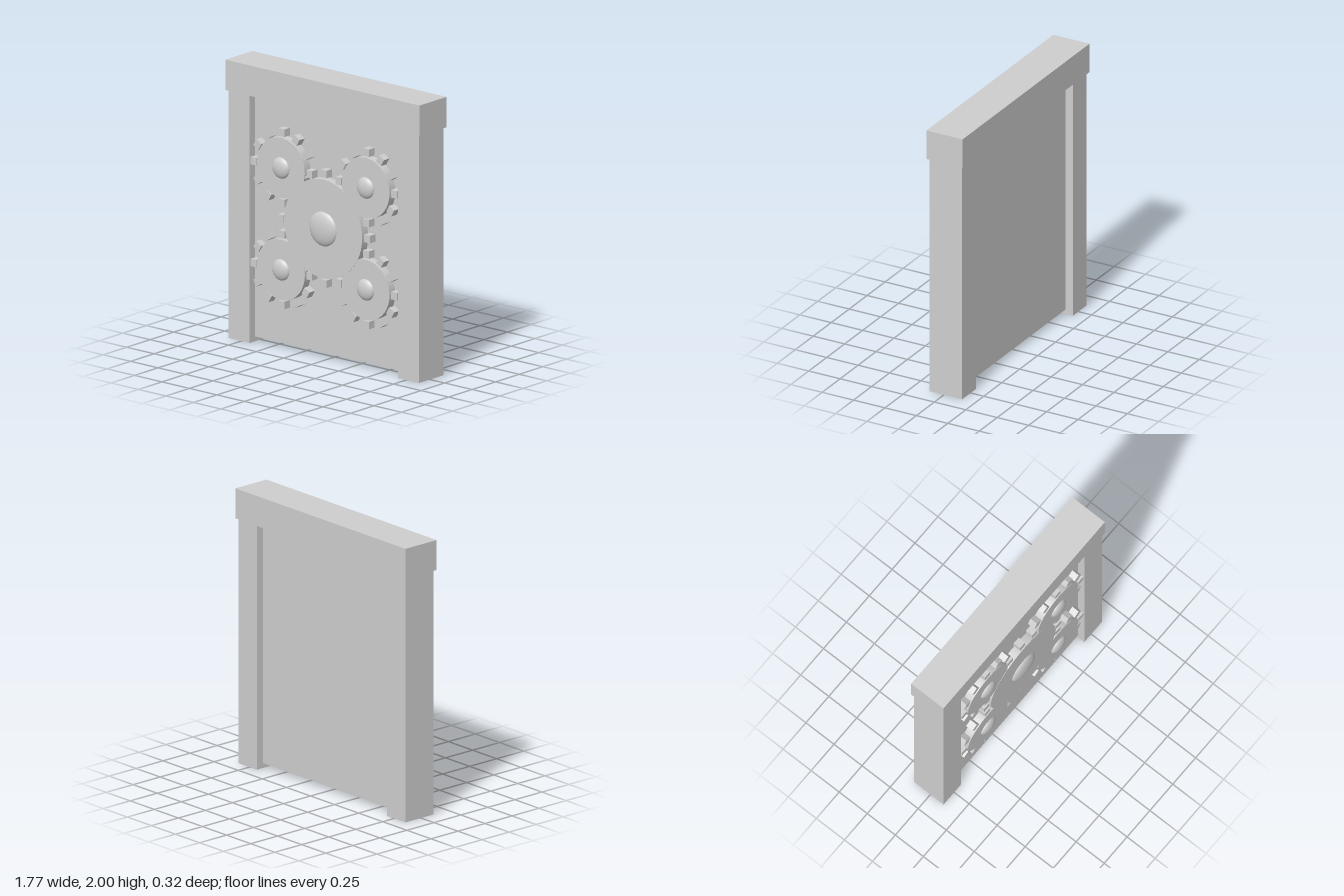
import * as THREE from 'three';

export function createModel() {
  const model = new THREE.Group();
  model.name = 'gearGate';
  const stone = new THREE.MeshStandardMaterial({ color: 0xcecece });
  stone.name = 'light grey stone';

  function add(parent, name, geometry, x, y, z) {
    const mesh = new THREE.Mesh(geometry, stone);
    mesh.name = name;
    mesh.position.set(x, y, z);
    parent.add(mesh);
    return mesh;
  }

  // Frame: lintel, two posts and the recessed door panel
  const midZ = -0.014;
  add(model, 'lintel', new THREE.BoxGeometry(1.766, 0.218, 0.288), 0, 1.891, midZ);
  for (const side of [-1, 1]) {
    const name = side > 0 ? 'leftPost' : 'rightPost';
    add(model, name, new THREE.BoxGeometry(0.192, 1.782, 0.262), side * 0.77, 0.891, midZ);
  }
  add(model, 'doorPanel', new THREE.BoxGeometry(1.348, 1.747, 0.146), 0, 0.9085, midZ);

  // Gear: disc, ring of twelve separate square teeth, domed hub
  const panelFront = 0.059;
  function addGear(name, x, y, radius, toothRing, hubRadius, discFront, hubFront) {
    const gear = new THREE.Group();
    gear.name = name;
    gear.position.set(x, y, 0);
    const depth = discFront - panelFront + 0.01;
    const disc = new THREE.CylinderGeometry(radius, radius, depth, 48).rotateX(Math.PI / 2);
    add(gear, 'gearDisc', disc, 0, 0, discFront - depth / 2);

    const toothGeometry = new THREE.BoxGeometry(0.054, 0.054, 0.06);
    for (let i = 0; i < 12; i++) {
      const a = (i / 12) * Math.PI * 2;
      const tooth = add(gear, 'gearTooth', toothGeometry,
        Math.cos(a) * toothRing, Math.sin(a) * toothRing, 0.086);
      tooth.rotation.z = a;
    }

    const hubZ = 0.117;
    const hub = new THREE.SphereGeometry(hubRadius, 32, 20);
    hub.scale(1, 1, (hubFront - hubZ) / hubRadius);
    add(gear, 'gearHub', hub, 0, 0, hubZ);
    model.add(gear);
  }

  // One large centre gear and four small corner gears
  const centreY = 0.947;
  addGear('centreGear', 0, centreY, 0.355, 0.394, 0.125, 0.123, 0.158);
  for (const sx of [-1, 1]) {
    for (const sy of [-1, 1]) {
      addGear('cornerGear', sx * 0.385, centreY + sy * 0.366, 0.217, 0.253, 0.077, 0.121, 0.152);
    }
  }
  return model;
}
